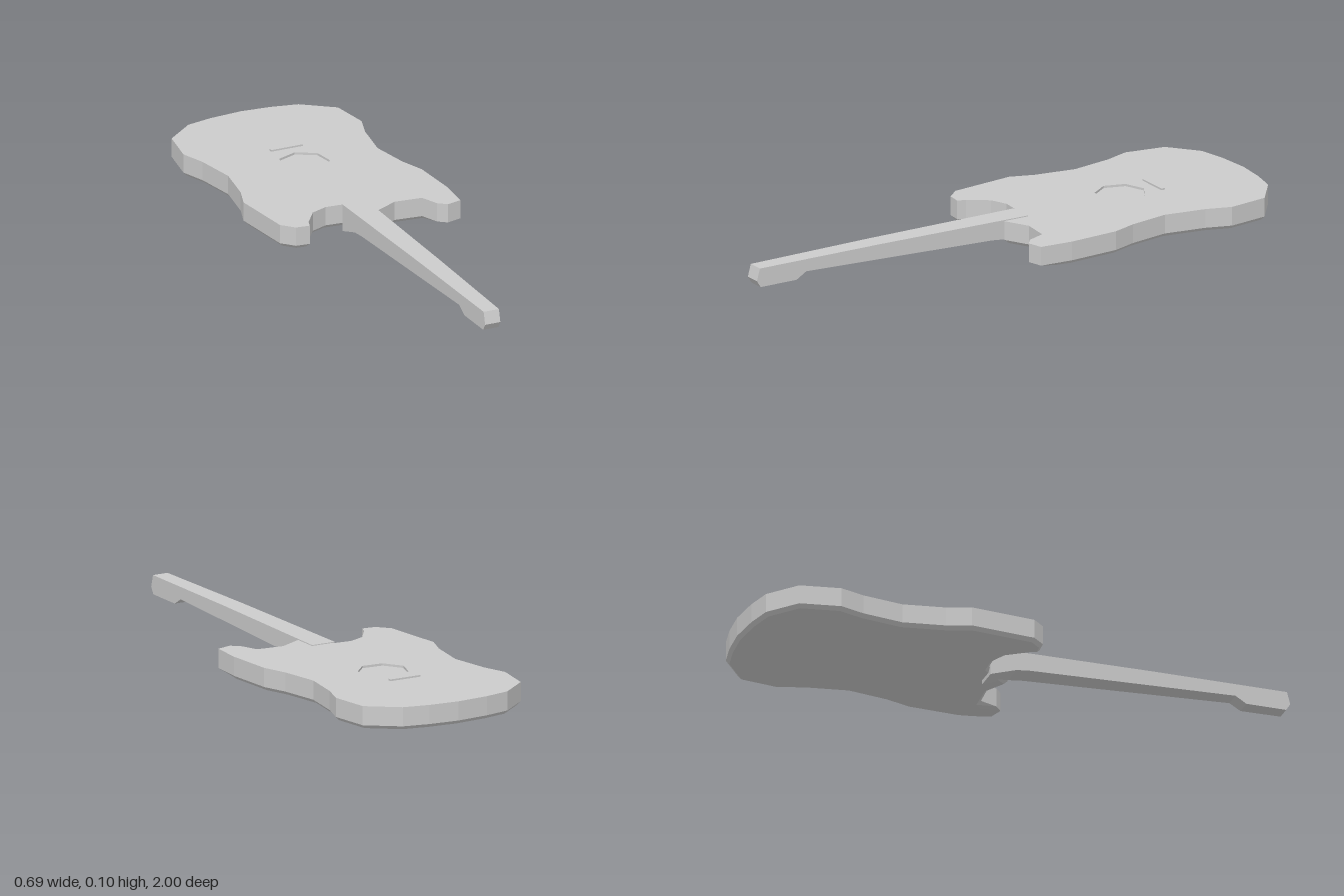
import * as THREE from 'three';

const material = new THREE.MeshStandardMaterial({ color: 0xcccccc, flatShading: true });

// Body outline as [x, z], counterclockwise seen from above
const OUTLINE = [
  [0, -1], [-0.12, -0.99], [-0.215, -0.97], [-0.32, -0.885], [-0.345, -0.74],
  [-0.315, -0.65], [-0.29, -0.5], [-0.315, -0.35], [-0.345, -0.265], [-0.32, -0.03],
  [-0.28, 0.015], [-0.23, 0.02], [-0.22, -0.01], [-0.17, -0.08], [-0.11, -0.105],
  [-0.045, -0.1], [0.04, 0], [0.125, -0.045], [0.225, -0.035], [0.25, 0.03],
  [0.28, 0.055], [0.335, 0.04], [0.345, -0.08], [0.335, -0.265], [0.305, -0.355],
  [0.28, -0.5], [0.305, -0.65], [0.335, -0.74], [0.315, -0.885], [0.205, -0.97], [0.11, -0.99],
];

function mesh(name, geometry) {
  const m = new THREE.Mesh(geometry, material);
  m.name = name;
  return m;
}

// Moves every edge of an outline inwards by d
function inset(points, d) {
  const n = points.length;
  const normal = (a, b) => {
    const dx = b[0] - a[0], dz = b[1] - a[1], l = Math.hypot(dx, dz);
    return [-dz / l, dx / l];
  };
  return points.map((p, i) => {
    const a = normal(points[(i + n - 1) % n], p);
    const b = normal(p, points[(i + 1) % n]);
    const k = d / (1 + a[0] * b[0] + a[1] * b[1]);
    return [p[0] - (a[0] + b[0]) * k, p[1] - (a[1] + b[1]) * k];
  });
}

// Band of quads between a lower and an upper ring
function band(lower, yLow, upper, yHigh) {
  const pos = [];
  lower.forEach((a, i) => {
    const j = (i + 1) % lower.length;
    const b = lower[j], c = upper[j], d = upper[i];
    pos.push(a[0], yLow, a[1], b[0], yLow, b[1], c[0], yHigh, c[1]);
    pos.push(a[0], yLow, a[1], c[0], yHigh, c[1], d[0], yHigh, d[1]);
  });
  const g = new THREE.BufferGeometry();
  g.setAttribute('position', new THREE.Float32BufferAttribute(pos, 3));
  g.computeVertexNormals();
  return g;
}

// Flat horizontal face, turned up (dir 1) or down (dir -1)
function cap(points, y, dir, hole) {
  const toVectors = (list) => list.map(([x, z]) => new THREE.Vector2(x, -z * dir));
  const shape = new THREE.Shape(toVectors(points));
  if (hole) shape.holes.push(new THREE.Path(toVectors(hole)));
  return new THREE.ShapeGeometry(shape).rotateX(-dir * Math.PI / 2).translate(0, y, 0);
}

function makeBody() {
  const body = new THREE.Group();
  body.name = 'body';
  const top = 0.096, edge = 0.028, bottom = 0.015, floor = 0.088;

  // Underside is inset, and cut back further beneath the left horn
  const under = inset(OUTLINE, 0.012).map(([x, z]) =>
    [x, x > 0.2 && z > -0.05 ? -0.05 + (z + 0.05) * 0.3 : z]);

  // Seven-sided sound hole recess
  const hole = [];
  for (let i = 0; i < 7; i++) {
    const t = 0.3 + (i / 7) * Math.PI * 2;
    hole.push([Math.cos(t) * 0.09, -0.5 + Math.sin(t) * 0.09]);
  }

  body.add(
    mesh('bodyTop', cap(OUTLINE, top, 1, hole)),
    mesh('bodySide', band(OUTLINE, edge, OUTLINE, top)),
    mesh('bodyBevel', band(under, bottom, OUTLINE, edge)),
    mesh('bodyBack', cap(under, bottom, -1)),
    mesh('soundHoleWall', band(hole, floor, hole, top)),
    mesh('soundHoleFloor', cap(hole, floor, 1)),
  );
  return body;
}

// Neck with head and heel: side profile in (z, y), tapered in width along z
function makeNeck() {
  const profile = [
    [-0.095, 0], [0, 0.03], [0.05, 0.035], [0.8, 0.06], [0.84, 0.036], [0.985, 0.036],
    [1, 0.06], [0.988, 0.104], [0.5, 0.104], [-0.095, 0.099],
  ];
  const shape = new THREE.Shape(profile.map(([z, y]) => new THREE.Vector2(z, y)));
  const g = new THREE.ExtrudeGeometry(shape, { depth: 1, bevelEnabled: false });
  g.rotateY(-Math.PI / 2);
  const p = g.attributes.position;
  for (let i = 0; i < p.count; i++) {
    const width = THREE.MathUtils.mapLinear(p.getZ(i), -0.095, 1, 0.09, 0.058);
    p.setX(i, -0.005 + (p.getX(i) + 0.5) * width);
  }
  g.computeVertexNormals();
  return mesh('neck', g);
}

export function createModel() {
  const guitar = new THREE.Group();
  guitar.name = 'guitar';

  // Thin bar that holds the strings
  const bridge = mesh('bridge', new THREE.BoxGeometry(0.12, 0.012, 0.015));
  bridge.position.set(-0.003, 0.096, -0.637);

  guitar.add(makeBody(), makeNeck(), bridge);
  return guitar;
}
